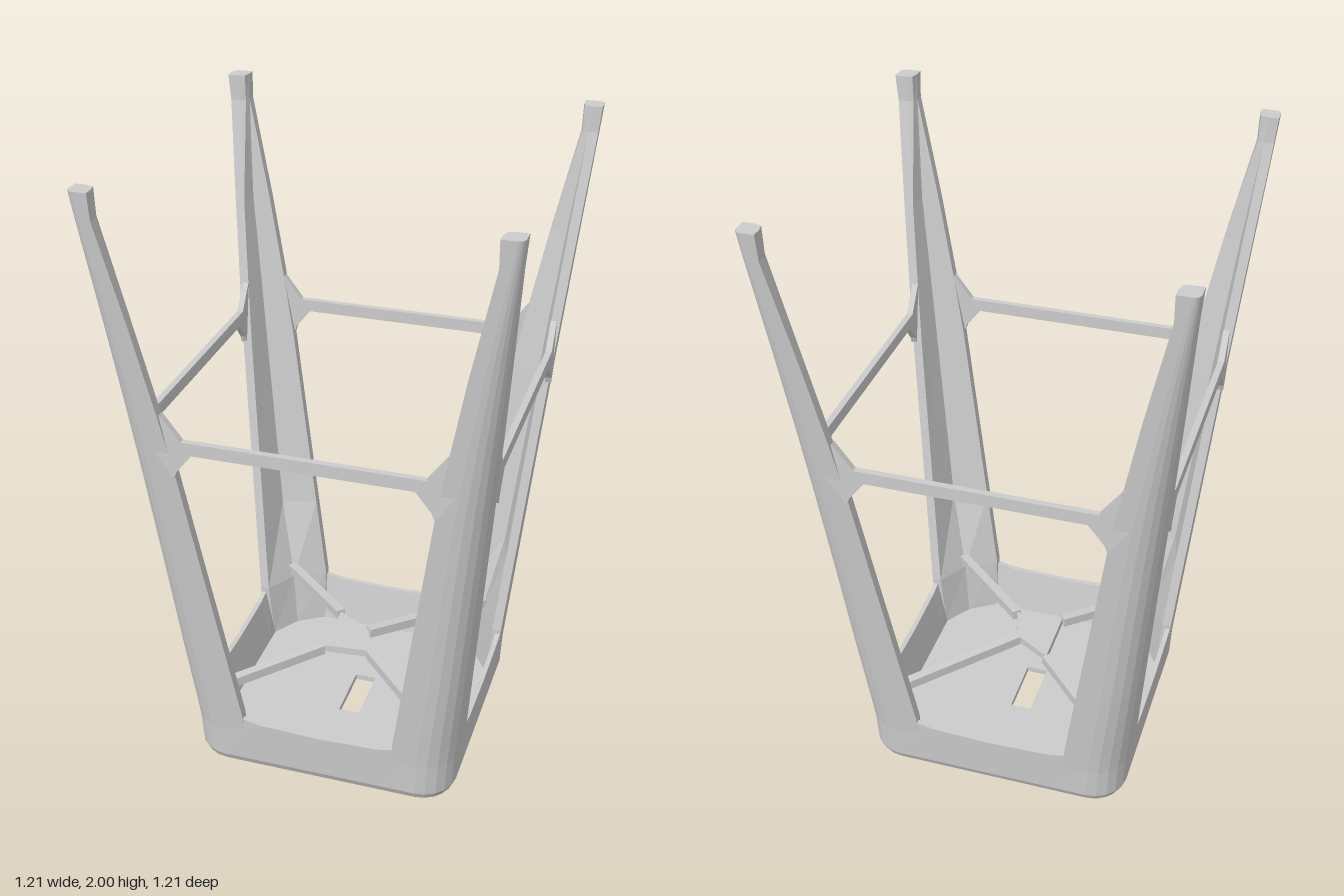
import * as THREE from 'three';

const mat = new THREE.MeshStandardMaterial({ color: 0xcccccc, flatShading: true });

function add(parent, name, geo) {
  const mesh = new THREE.Mesh(geo, mat);
  mesh.name = name;
  parent.add(mesh);
  return mesh;
}

// Skin a stack of rings of [x, y, z] points, each running from +x towards +z
function loft(rings, capTop = false, capBottom = false) {
  const n = rings[0].length, idx = [];
  for (let i = 0; i < rings.length - 1; i++) {
    for (let j = 0; j < n; j++) {
      const a = i * n + j, b = i * n + (j + 1) % n;
      idx.push(a, a + n, b, b, a + n, b + n);
    }
  }
  const top = (rings.length - 1) * n;
  for (let j = 1; j < n - 1; j++) {
    if (capTop) idx.push(top, top + j + 1, top + j);
    if (capBottom) idx.push(0, j, j + 1);
  }
  const geo = new THREE.BufferGeometry();
  geo.setAttribute('position', new THREE.Float32BufferAttribute(rings.flat(2), 3));
  geo.setIndex(idx);
  geo.computeVertexNormals();
  return geo;
}

// Rounded square ring; the middle of each side can dip
function squareRing(h, r, y, dip = 0) {
  const pts = [];
  for (let c = 0; c < 4; c++) {
    const a0 = c * Math.PI / 2, cos = Math.cos(a0), sin = Math.sin(a0);
    const put = (x, z, yy) => pts.push([x * cos - z * sin, yy, x * sin + z * cos]);
    put(h, 0, y - dip);
    put(h, 0.2, y - dip * 0.8);
    for (let k = 0; k <= 5; k++) {
      const a = k / 5 * Math.PI / 2;
      put(h - r + r * Math.cos(a), h - r + r * Math.sin(a), y);
    }
    put(0.2, h, y - dip * 0.8);
  }
  return pts;
}

// Angle-shaped leg section: outer face o, flange end f, corner radius r, inner fold n
function legRing(y, o, f, r, n, t = 0.03) {
  const pts = [[o, y, f]];
  for (let k = 0; k <= 5; k++) {
    const a = k / 5 * Math.PI / 2;
    pts.push([o - r + r * Math.cos(a), y, o - r + r * Math.sin(a)]);
  }
  pts.push([f, y, o], [f, y, o - t], [n, y, n], [o - t, y, f]);
  return pts;
}

// Square bar between two points
function bar(parent, name, from, to, w, h) {
  const a = new THREE.Vector3(...from), b = new THREE.Vector3(...to);
  const mesh = add(parent, name, new THREE.BoxGeometry(w, h, a.distanceTo(b)));
  mesh.position.copy(a).add(b).multiplyScalar(0.5);
  mesh.lookAt(b);
}

export function createModel() {
  const model = new THREE.Group();
  model.name = 'upturnedStool';

  // Seat panel with a grip slot
  const s = 0.41, c = 0.08;
  const panel = new THREE.Shape();
  panel.moveTo(s, -s + c);
  for (const [x, y] of [[1, 1], [-1, 1], [-1, -1], [1, -1]]) {
    const swap = x === y;
    const p = [x * s, y * (s - c)], q = [x * (s - c), y * s];
    const [start, end] = swap ? [p, q] : [q, p];
    panel.lineTo(...start);
    panel.quadraticCurveTo(x * s, y * s, ...end);
  }
  const slot = new THREE.Path();
  slot.moveTo(-0.035, -0.1);
  slot.lineTo(-0.035, 0.1);
  slot.lineTo(0.035, 0.1);
  slot.lineTo(0.035, -0.1);
  panel.holes.push(slot);
  const panelGeo = new THREE.ExtrudeGeometry(panel, { depth: 0.02, bevelEnabled: false, curveSegments: 5 });
  panelGeo.rotateX(-Math.PI / 2).translate(0, 0.01, 0);
  add(model, 'seatPanel', panelGeo);

  // Seat rim and apron
  add(model, 'seatApron', loft([
    squareRing(0.385, 0.07, 0.012),
    squareRing(0.395, 0.08, 0),
    squareRing(0.42, 0.1, 0.01),
    squareRing(0.432, 0.11, 0.035),
    squareRing(0.441, 0.11, 0.22, 0.035),
    squareRing(0.425, 0.1, 0.22, 0.035),
    squareRing(0.395, 0.08, 0.03),
  ]));

  // Legs: height, flange end, corner radius, openness of the inner fold
  const stations = [
    [0.03, 0.25, 0.11, 0], [0.22, 0.25, 0.11, 0.1], [0.5, 0.292, 0.1, 0.5],
    [0.8, 0.337, 0.095, 0.5], [1.13, 0.386, 0.085, 0.5], [1.33, 0.422, 0.075, 0.45],
    [1.6, 0.475, 0.055, 0.3], [1.92, 0.545, 0.025, -0.7], [2, 0.546, 0.02, -1.6],
  ];
  const legGeo = loft(stations.map(([y, f, r, open]) => {
    const o = 0.424 + y * 0.0915, mid = (o + f) / 2;
    return legRing(y, o, f, r, open < 0 ? f + 0.006 : mid + (o - 0.03 - mid) * open);
  }), true);

  // Stretcher outline with a gusset at each end
  const half = [[0.36, 1.255], [0.42, 1.335], [0.47, 1.25], [0.388, 1.13], [0.378, 1.155], [0.33, 1.215]];
  const outline = [...half, ...half.map(([x, y]) => [-x, y]).reverse()];
  const stretcher = new THREE.Shape(outline.map(([x, y]) => new THREE.Vector2(x, y)));
  const stretcherGeo = new THREE.ExtrudeGeometry(stretcher, { depth: 0.02, bevelEnabled: false });
  stretcherGeo.translate(0, 0, 0.515);

  for (let i = 0; i < 4; i++) {
    add(model, 'leg', legGeo).rotation.y = i * Math.PI / 2;
    add(model, 'stretcher', stretcherGeo).rotation.y = i * Math.PI / 2;
  }

  // Diagonal braces meeting at a small centre plate
  const hub = [[0.07, 0.085], [-0.09, 0.1], [-0.09, -0.1], [0.03, -0.03]];
  const corners = [[1, 1], [-1, 1], [-1, -1], [1, -1]];
  hub.forEach(([x, z], i) => {
    const [sx, sz] = corners[i];
    bar(model, 'brace', [sx * 0.38, 0.25, sz * 0.38], [x, 0.28, z], 0.03, 0.032);
  });
  add(model, 'bracePlate', loft([0.265, 0.29].map(y => hub.map(([x, z]) => [x, y, z])), true, true));

  return model;
}
